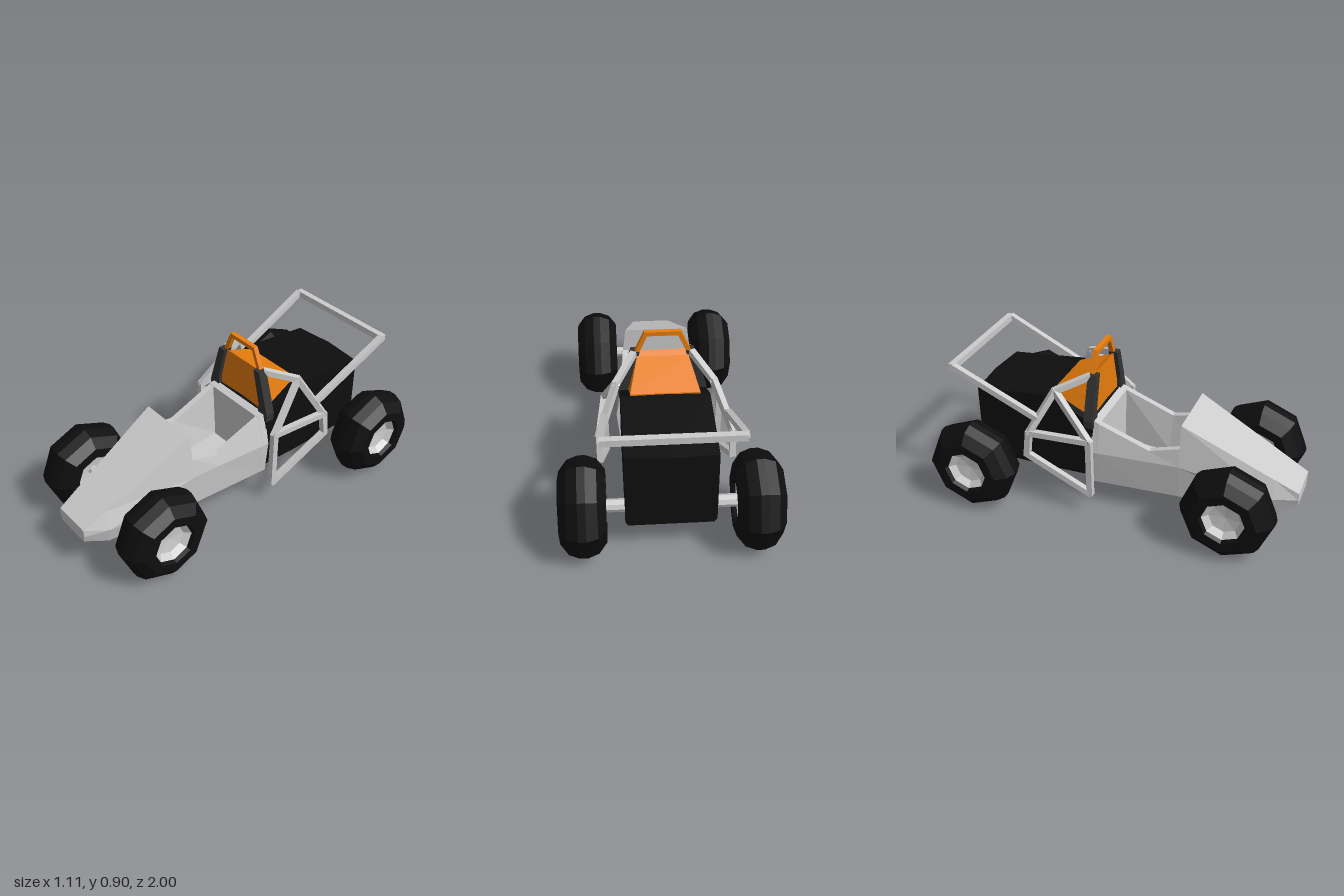
import * as THREE from 'three';

const mat = (color) => new THREE.MeshStandardMaterial({ color, flatShading: true });
const grey = mat(0xcccccc);
const black = mat(0x0e0e0e);
const dark = mat(0x333333);
const orange = mat(0xe87d0d);

const v = (x, y, z) => new THREE.Vector3(x, y, z);

// Half outline [x, y] from bottom to top, mirrored into a full ring at depth z.
function ring(z, half) {
  const right = half.map(([x, y, dz = 0]) => v(x, y, z + dz));
  const left = half.filter(([x]) => x > 0).map(([x, y, dz = 0]) => v(-x, y, z + dz)).reverse();
  return [...right, ...left];
}

// Skin a list of rings running from front to back, with optional end caps.
function loft(rings, capFront = true, capBack = true) {
  const pos = [];
  const tri = (...pts) => pts.forEach((p) => pos.push(p.x, p.y, p.z));
  for (let i = 0; i < rings.length - 1; i++) {
    const p = rings[i], q = rings[i + 1], n = p.length;
    for (let j = 0; j < n; j++) {
      const k = (j + 1) % n;
      tri(p[j], q[j], p[k]);
      tri(p[k], q[j], q[k]);
    }
  }
  const cap = (r, back) => {
    const flat = r.map((p) => new THREE.Vector2(p.x, p.y));
    for (const [a, b, c] of THREE.ShapeUtils.triangulateShape(flat, [])) {
      if (back) tri(r[a], r[c], r[b]);
      else tri(r[a], r[b], r[c]);
    }
  };
  if (capFront) cap(rings[0], false);
  if (capBack) cap(rings[rings.length - 1], true);
  const geo = new THREE.BufferGeometry();
  geo.setAttribute('position', new THREE.Float32BufferAttribute(pos, 3));
  geo.computeVertexNormals();
  return geo;
}

// Flat plate cut from an outline, its back face at zBack.
function plate(points, zBack, depth) {
  const shape = new THREE.Shape(points.map(([x, y]) => new THREE.Vector2(x, y)));
  return new THREE.ExtrudeGeometry(shape, { depth, bevelEnabled: false }).translate(0, 0, zBack);
}

// Square bar between two points.
function bar(a, b, w, name, material = grey) {
  const m = new THREE.Mesh(new THREE.BoxGeometry(w, w, a.distanceTo(b) + w * 0.6), material);
  m.position.copy(a).add(b).multiplyScalar(0.5);
  m.lookAt(b);
  m.name = name;
  return m;
}

function lathe(points) {
  const pts = points.map(([r, y]) => new THREE.Vector2(r, y));
  return new THREE.LatheGeometry(pts, 8).rotateZ(-Math.PI / 2);
}

// Chunky eight-sided tyre with a dished hub on both faces.
function makeWheel(name, x, z) {
  const wheel = new THREE.Group();
  const edge = [[0.115, 0.09], [0.125, 0.117], [0.18, 0.117], [0.235, 0.075], [0.255, 0.02]];
  const tyre = [...edge.map(([r, y]) => [r, -y]), ...[...edge].reverse()];
  const dish = [[0.116, 0.095], [0.085, 0.065], [0, 0.055]];
  const hub = [...[...dish].reverse().map(([r, y]) => [r, -y]), ...dish];
  for (const [part, profile, material] of [['tyre', tyre, black], ['hub', hub, grey]]) {
    const m = new THREE.Mesh(lathe(profile), material);
    m.name = part;
    wheel.add(m);
  }
  wheel.position.set(x, 0.26, z);
  wheel.name = name;
  return wheel;
}

export function createModel() {
  const model = new THREE.Group();
  const add = (name, geo, material) => {
    const m = new THREE.Mesh(geo, material);
    m.name = name;
    model.add(m);
  };

  // Nose rising to the cowl
  add('nose', loft([
    ring(1, [[0.1, 0.21], [0.112, 0.25], [0.11, 0.29]]),
    ring(0.87, [[0.13, 0.155], [0.155, 0.25], [0.125, 0.355]]),
    ring(0.365, [[0.19, 0.155], [0.21, 0.36], [0.18, 0.605]]),
  ]), grey);

  // Open cockpit tub with rim, inner walls and floor
  add('cockpitTub', loft([
    ring(0.365, [[0.19, 0.155], [0.21, 0.36], [0.197, 0.47], [0.165, 0.47], [0.13, 0.2]]),
    ring(0.2, [[0.203, 0.155], [0.223, 0.36], [0.21, 0.425], [0.175, 0.425], [0.143, 0.2]]),
    ring(-0.09, [[0.225, 0.155], [0.248, 0.36], [0.215, 0.53], [0.18, 0.53], [0.165, 0.2]]),
  ], false), grey);
  add('rearBulkhead', loft([
    ring(-0.085, [[0.225, 0.155], [0.248, 0.36], [0.215, 0.53]]),
    ring(-0.125, [[0.228, 0.155], [0.25, 0.36], [0.21, 0.545]]),
  ]), grey);

  // Engine housing with a slightly bowed tail
  add('engineHousing', loft([
    ring(-0.12, [[0.2, 0.17], [0.23, 0.2], [0.23, 0.53], [0, 0.54]]),
    ring(-0.37, [[0.215, 0.175], [0.23, 0.2], [0.23, 0.655], [0, 0.66]]),
    ring(-0.81, [[0.215, 0.18], [0.23, 0.2], [0.23, 0.608], [0, 0.612, -0.015]]),
  ]), black);

  // Headrest fairing, its pillars and the roll hoop
  add('headFairing', loft([
    ring(-0.14, [[0.19, 0.52], [0.13, 0.785]]),
    ring(-0.17, [[0.19, 0.53], [0.135, 0.765]]),
    ring(-0.37, [[0.19, 0.6], [0.18, 0.665]]),
  ]), orange);
  const hoop = [[0.15, 0.78], [0.095, 0.905], [-0.095, 0.905], [-0.15, 0.78],
    [-0.125, 0.78], [-0.08, 0.882], [0.08, 0.882], [0.125, 0.78]];
  add('rollHoop', plate(hoop, -0.165, 0.027), orange);

  const pillar = [[0.235, 0.5], [0.238, 0.545], [0.165, 0.79], [0.12, 0.79], [0.168, 0.6], [0.168, 0.5]];
  for (const s of [1, -1]) {
    const side = s > 0 ? 'left' : 'right';
    add(side + 'Pillar', plate(pillar.map(([x, y]) => [s * x, y]), -0.168, 0.052), dark);

    // Side cage
    const low = v(s * 0.31, 0.13, -0.105);
    const front = v(s * 0.315, 0.47, -0.105);
    const back = v(s * 0.345, 0.47, -0.445);
    const backLow = v(s * 0.345, 0.33, -0.462);
    const apex = v(s * 0.25, 0.705, -0.325);
    const head = v(s * 0.155, 0.775, -0.165);
    const cage = new THREE.Group();
    cage.name = side + 'Cage';
    for (const [a, b] of [[low, front], [front, back], [back, backLow], [backLow, low],
      [front, apex], [apex, back], [apex, head]]) cage.add(bar(a, b, 0.033, 'cageBar'));
    model.add(cage);

    // Rear frame arm
    model.add(bar(v(s * 0.32, 0.56, -0.41), v(s * 0.332, 0.778, -0.88), 0.033, side + 'FrameArm'));

    // Wheels
    model.add(makeWheel(side + 'FrontWheel', s * 0.347, 0.685));
    model.add(makeWheel(side + 'RearWheel', s * 0.438, -0.742));
  }
  model.add(bar(v(-0.33, 0.778, -0.893), v(0.33, 0.778, -0.893), 0.035, 'rearFrameCrossbar'));

  // Axles
  for (const [name, r, len, z] of [['frontAxle', 0.028, 0.62, 0.685], ['rearAxle', 0.034, 0.8, -0.745]]) {
    const geo = new THREE.CylinderGeometry(r, r, len, 8).rotateZ(Math.PI / 2).translate(0, 0.26, z);
    add(name, geo, grey);
  }
  return model;
}
